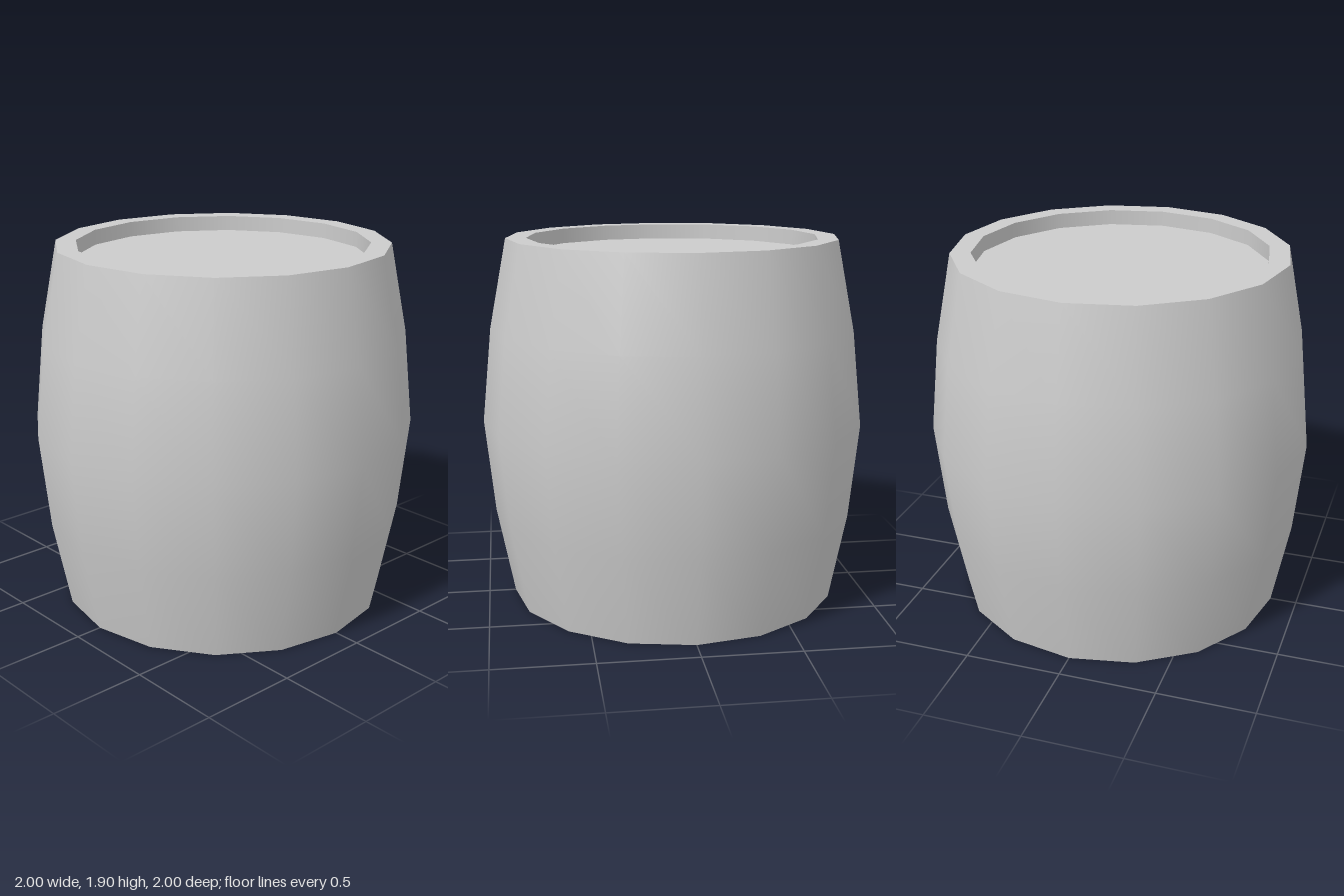
import * as THREE from 'three';

const SIDES = 16;
const H = 1.9;

export function createModel() {
  const barrel = new THREE.Group();
  barrel.name = 'barrel';
  const material = new THREE.MeshStandardMaterial({ color: 0xcccccc });

  // Each part is its own lathe, so edges between parts stay sharp.
  // Profiles run from the bottom centre, up the outside, to the top centre.
  function ring(name, profile) {
    const points = profile.map(([r, y]) => new THREE.Vector2(r, y));
    const mesh = new THREE.Mesh(new THREE.LatheGeometry(points, SIDES), material);
    mesh.name = name;
    barrel.add(mesh);
  }

  // Recessed underside
  ring('bottomPanel', [[0, 0.07], [0.81, 0.07]]);
  ring('bottomRecessWall', [[0.81, 0.07], [0.81, 0]]);
  ring('bottomRim', [[0.81, 0], [0.86, 0]]);

  // Bulging staves
  ring('body', [[0.86, 0], [0.95, 0.46], [1, 0.95], [0.95, 1.44], [0.86, H]]);

  // Recessed lid
  ring('topRim', [[0.86, H], [0.755, H]]);
  ring('topRecessWall', [[0.755, H], [0.755, H - 0.08]]);
  ring('lid', [[0.755, H - 0.08], [0, H - 0.08]]);

  return barrel;
}
